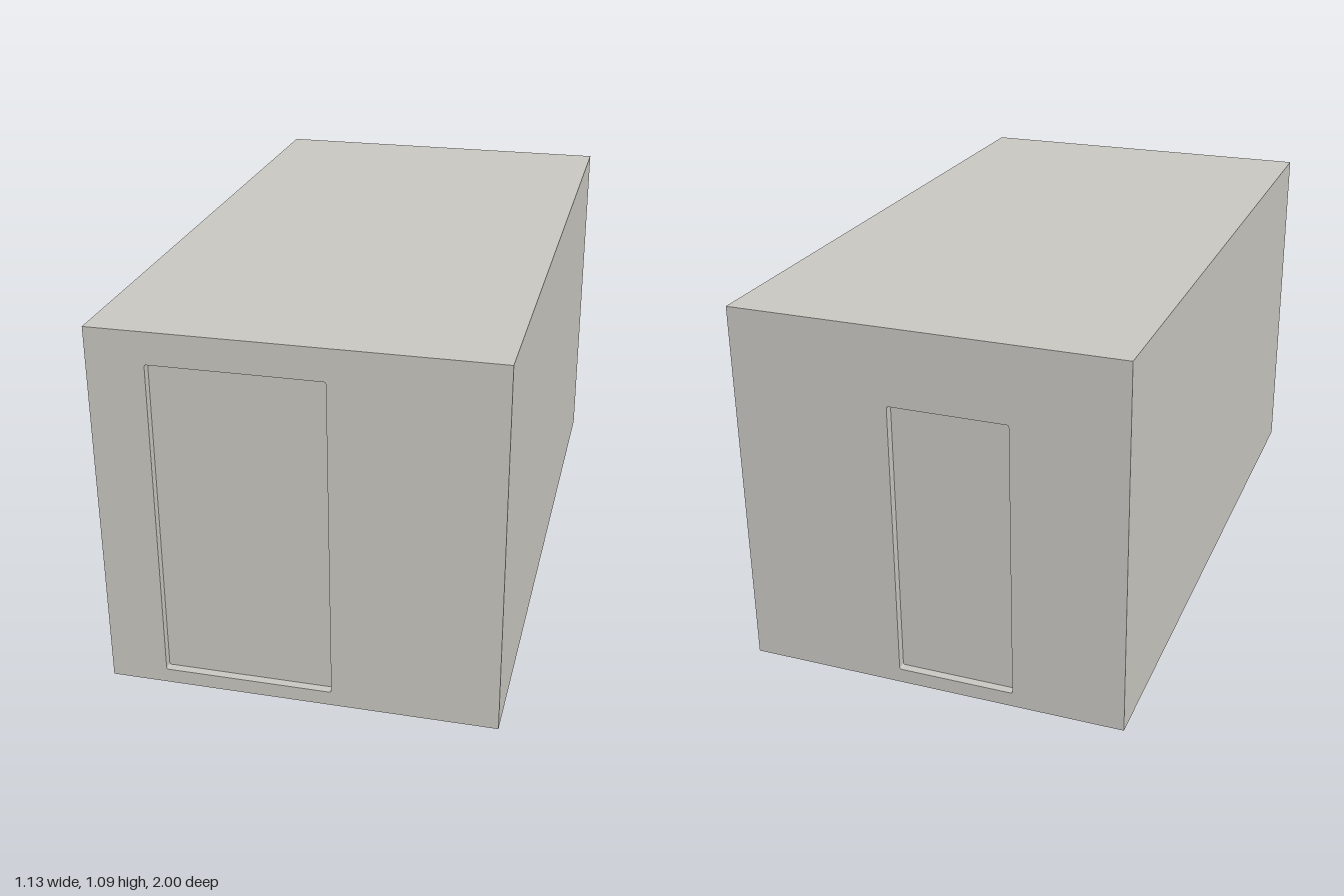
import * as THREE from 'three';

const W = 1.13, H = 1.09, L = 2, WALL = 0.04, RECESS = 0.025;

// Rectangle outline with slightly rounded corners
function roundedRect(path, x0, y0, x1, y1, r) {
  path.moveTo(x0 + r, y0);
  path.lineTo(x1 - r, y0);
  path.absarc(x1 - r, y0 + r, r, -Math.PI / 2, 0);
  path.lineTo(x1, y1 - r);
  path.absarc(x1 - r, y1 - r, r, 0, Math.PI / 2);
  path.lineTo(x0 + r, y1);
  path.absarc(x0 + r, y1 - r, r, Math.PI / 2, Math.PI);
  path.lineTo(x0, y0 + r);
  path.absarc(x0 + r, y0 + r, r, Math.PI, Math.PI * 1.5);
  return path;
}

function rect(path, x0, y0, x1, y1) {
  path.moveTo(x0, y0);
  path.lineTo(x1, y0);
  path.lineTo(x1, y1);
  path.lineTo(x0, y1);
  path.closePath();
  return path;
}

export function createModel() {
  const model = new THREE.Group();
  model.name = 'cabin';
  const concrete = new THREE.MeshStandardMaterial({ color: 0xcac8c2 });
  concrete.name = 'concrete grey';

  const extrude = (name, shape, depth, z, parent) => {
    const geometry = new THREE.ExtrudeGeometry(shape, { depth, bevelEnabled: false, curveSegments: 4 });
    const mesh = new THREE.Mesh(geometry, concrete);
    mesh.name = name;
    mesh.position.z = z;
    parent.add(mesh);
  };

  // Floor, side walls and roof as one hollow sleeve
  const sleeve = rect(new THREE.Shape(), -W / 2, 0, W / 2, H);
  sleeve.holes.push(rect(new THREE.Path(), -W / 2 + WALL, WALL, W / 2 - WALL, H - WALL));
  extrude('floorWallsRoof', sleeve, L - 2 * WALL, -L / 2 + WALL, model);

  // End wall with a recessed door; x is measured facing the wall from outside
  const addEnd = (side, x0, x1, top, turn) => {
    const end = new THREE.Group();
    end.name = side + 'End';
    end.rotation.y = turn;
    const wall = rect(new THREE.Shape(), -W / 2, 0, W / 2, H);
    wall.holes.push(roundedRect(new THREE.Path(), x0, 0.043, x1, top, 0.006));
    extrude(side + 'Wall', wall, WALL, L / 2 - WALL, end);
    const door = roundedRect(new THREE.Shape(), x0, 0.043, x1, top, 0.006);
    extrude(side + 'Door', door, WALL - RECESS, L / 2 - WALL, end);
    model.add(end);
  };
  addEnd('front', -0.4, 0.09, 0.997, 0);
  addEnd('back', -0.105, 0.24, 0.867, Math.PI);

  return model;
}
